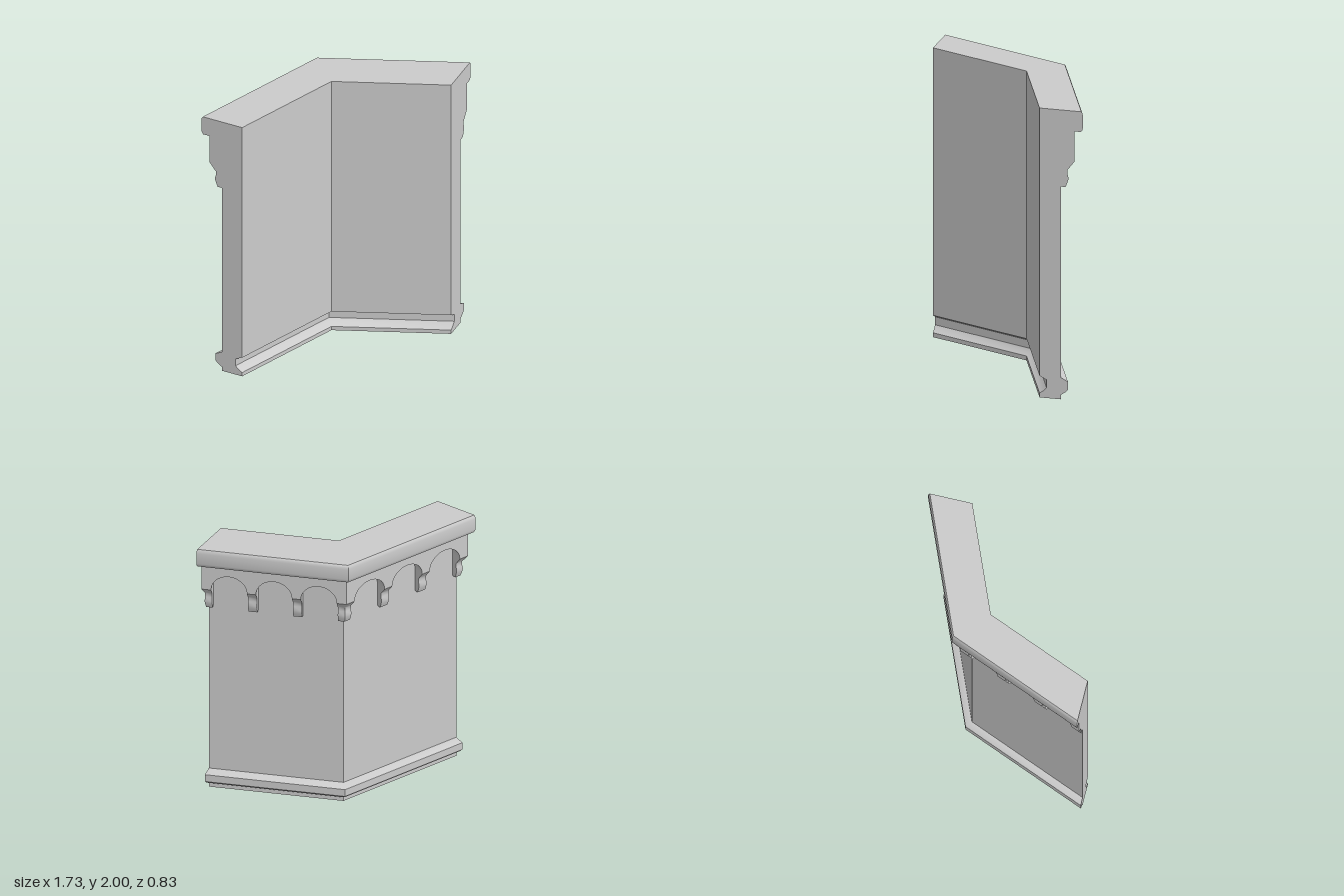
import * as THREE from 'three';
import { toCreasedNormals } from 'three/addons/utils/BufferGeometryUtils.js';

const MITRE = Math.tan(Math.PI / 8);
const WALL = 0.135;      // wall thickness
const ARCADE = 0.22;     // distance of arcade face from the inner face
const SPRING = 1.65;     // height where the arches start
const ARCADE_TOP = 1.86;
const BAYS = 3;
const LEG = 0.06;        // corbel width
const material = new THREE.MeshStandardMaterial({ color: 0xcccccc });

// Plan stations: a point on the inner face and the mitre direction pointing outwards
const stations = [
  { p: new THREE.Vector2(-0.755, -0.145), m: new THREE.Vector2(-MITRE, -1) },
  { p: new THREE.Vector2(0.033, -0.145), m: new THREE.Vector2(MITRE, -1) },
  { p: new THREE.Vector2(0.59, 0.412), m: new THREE.Vector2(1, -MITRE) },
];
const at = (s, d) => s.p.clone().addScaledVector(s.m, d);

function addMesh(parent, name, geometry) {
  const mesh = new THREE.Mesh(toCreasedNormals(geometry, 0.7), material);
  mesh.name = name;
  parent.add(mesh);
}

// Sweeps a counter-clockwise [distance, height] profile along stations, with capped ends
function sweep(profile, path) {
  const n = profile.length, pos = [], index = [];
  for (const s of path) {
    for (const [d, y] of profile) {
      const q = at(s, d);
      pos.push(q.x, y, q.y);
    }
  }
  for (let k = 0; k < path.length - 1; k++) {
    for (let i = 0; i < n; i++) {
      const a = k * n + i, b = k * n + (i + 1) % n;
      index.push(a, b, b + n, a, b + n, a + n);
    }
  }
  const last = (path.length - 1) * n;
  const flat = profile.map(([d, y]) => new THREE.Vector2(d, y));
  for (const [a, b, c] of THREE.ShapeUtils.triangulateShape(flat, [])) {
    index.push(c, b, a, last + a, last + b, last + c);
  }
  const geometry = new THREE.BufferGeometry();
  geometry.setAttribute('position', new THREE.Float32BufferAttribute(pos, 3));
  geometry.setIndex(index);
  return geometry;
}

// One straight side: its wall-face end points, length and outward normal
function side(k) {
  const a = at(stations[k], WALL), b = at(stations[k + 1], WALL);
  const t = b.clone().sub(a).normalize();
  return { a, b, t, length: a.distanceTo(b), normal: new THREE.Vector2(t.y, -t.x) };
}

// Square-cut station at distance u along a side
function squareStation(s, u) {
  const p = s.a.clone().addScaledVector(s.t, u).addScaledVector(s.normal, -WALL);
  return { p, m: s.normal };
}

// Band of round arches, with its ends bent to the mitres
function archBand(k) {
  const s = side(k), L = s.length, pitch = L / BAYS;
  const shape = new THREE.Shape();
  shape.moveTo(0, SPRING);
  for (let i = 0; i < BAYS; i++) {
    const c = (i + 0.5) * pitch, r = (pitch - LEG) / 2;
    shape.lineTo(c - r, SPRING);
    shape.absarc(c, SPRING, r, Math.PI, 0, true);
  }
  shape.lineTo(L, SPRING);
  shape.lineTo(L, ARCADE_TOP);
  shape.lineTo(0, ARCADE_TOP);
  const geometry = new THREE.ExtrudeGeometry(shape, { depth: 1, bevelEnabled: false, curveSegments: 18 });
  const pos = geometry.attributes.position;
  for (let i = 0; i < pos.count; i++) {
    const u = pos.getX(i);
    const d = WALL + pos.getZ(i) * (ARCADE - WALL);
    let q;
    if (u < 1e-4) q = at(stations[k + 1], d);
    else if (u > L - 1e-4) q = at(stations[k], d);
    else q = at(squareStation(s, L - u), d);
    pos.setXYZ(i, q.x, pos.getY(i), q.y);
  }
  return geometry;
}

export function createModel() {
  const group = new THREE.Group();

  // Base moulding, the same curve on both faces
  const curve = [[0, 0], [0, 0.03], [0.011, 0.038], [0.029, 0.052], [0.045, 0.07], [0.045, 0.125], [0, 0.15]];
  const outer = curve.map(([d, y]) => [d + WALL, y]);
  addMesh(group, 'baseMoulding', sweep([...outer, ...curve.slice().reverse()], stations));

  // Plain wall
  addMesh(group, 'wall', sweep([[0, 0.15], [WALL, 0.15], [WALL, 1.86], [0, 1.86]], stations));

  // Coping with softened edges
  addMesh(group, 'coping', sweep([
    [0, 1.86], [0.262, 1.86], [0.27, 1.872], [0.275, 1.89],
    [0.275, 1.97], [0.272, 1.988], [0.265, 2], [0, 2],
  ], stations));

  // Arcade and corbels
  const corbel = [
    [WALL, 1.47], [0.165, 1.47], [0.174, 1.495], [0.184, 1.53], [0.177, 1.56],
    [0.177, 1.59], [0.192, 1.61], [ARCADE, SPRING], [WALL, SPRING],
  ];
  const sides = [side(0), side(1)];
  sides.forEach((s, k) => {
    addMesh(group, 'archBand', archBand(k));
    for (let i = 1; i < BAYS; i++) {
      const u = (i * s.length) / BAYS;
      addMesh(group, 'corbel', sweep(corbel, [squareStation(s, u - LEG / 2), squareStation(s, u + LEG / 2)]));
    }
  });

  // Half corbels at the ends and a folded one at the bend
  const [first, second] = sides;
  const before = squareStation(first, first.length - LEG / 2);
  const after = squareStation(second, LEG / 2);
  addMesh(group, 'endCorbel', sweep(corbel, [stations[0], squareStation(first, LEG / 2)]));
  addMesh(group, 'cornerCorbel', sweep(corbel, [before, stations[1], after]));
  addMesh(group, 'endCorbel', sweep(corbel, [squareStation(second, second.length - LEG / 2), stations[2]]));

  return group;
}
